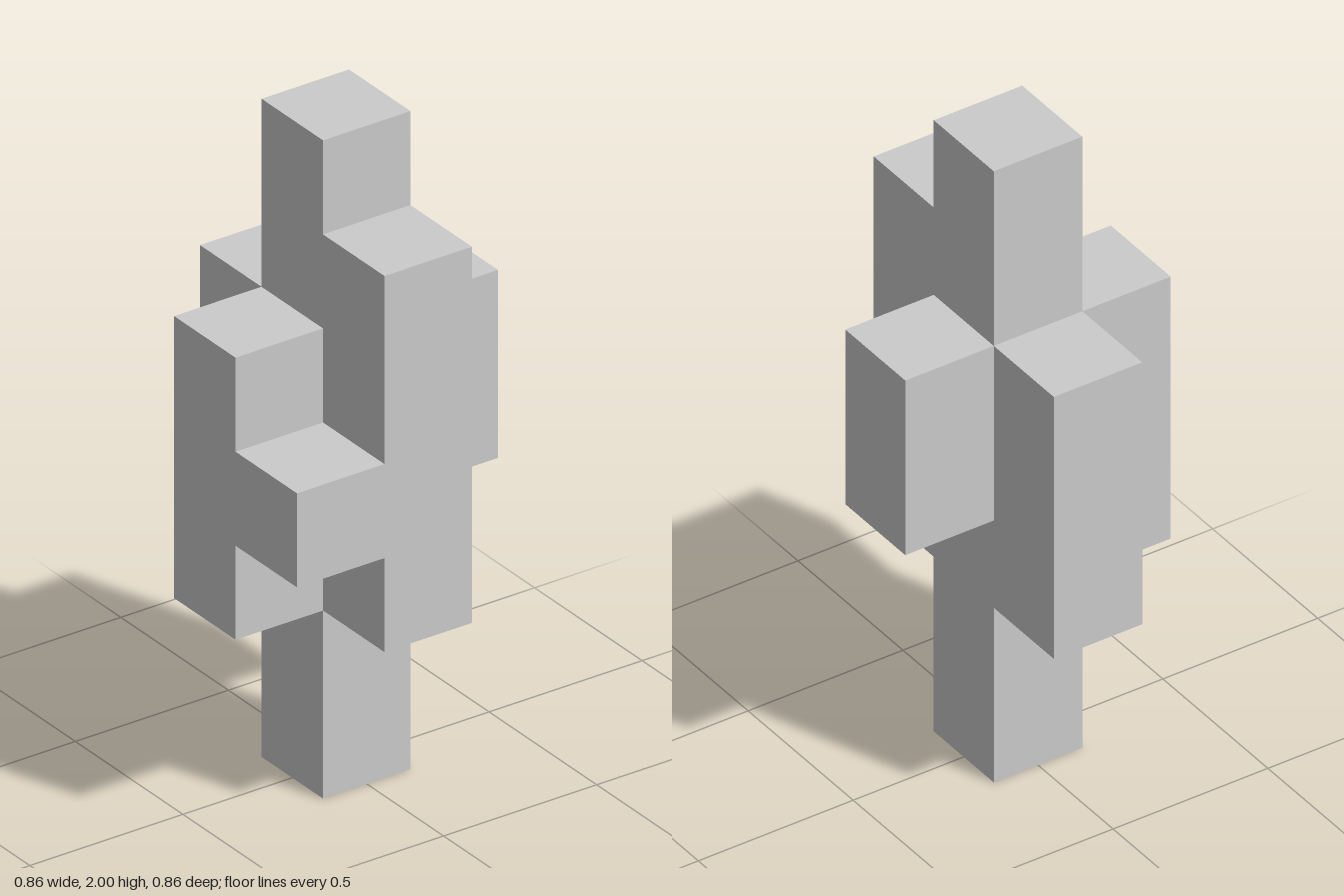
import * as THREE from 'three';
import { mergeGeometries } from 'three/addons/utils/BufferGeometryUtils.js';

// Edge length of one grid cell: the model is seven cells tall
const U = 2 / 7;

// Upright bars on the grid: cell x, cell z, first and last-plus-one cell in y
const BARS = [
  { name: 'centralColumn', x: 0, z: 0, from: 0, to: 7 },
  { name: 'frontBar', x: 0, z: 1, from: 2, to: 6 },
  { name: 'backBar', x: 0, z: -1, from: 2, to: 5 },
  { name: 'leftBar', x: 1, z: 0, from: 3, to: 5 },
  { name: 'rightBar', x: -1, z: 0, from: 2, to: 5 },
  { name: 'rightFrontBlock', x: -1, z: 1, from: 3, to: 4 },
];

const SIDES = [[1, 0, 0], [-1, 0, 0], [0, 1, 0], [0, -1, 0], [0, 0, 1], [0, 0, -1]];

const filled = (x, y, z) =>
  BARS.some((b) => b.x === x && b.z === z && y >= b.from && y < b.to);

// One square on the outside of a cell, facing along the given direction
function cellFace(x, y, z, dir) {
  const n = new THREE.Vector3(...dir);
  const face = new THREE.PlaneGeometry(U, U);
  face.applyQuaternion(new THREE.Quaternion().setFromUnitVectors(new THREE.Vector3(0, 0, 1), n));
  return face.translate((x + n.x / 2) * U, (y + 0.5 + n.y / 2) * U, (z + n.z / 2) * U);
}

// Skin of a bar, leaving out the faces where it joins its neighbours
function barGeometry({ x, z, from, to }) {
  const faces = [];
  for (let y = from; y < to; y++) {
    for (const d of SIDES) {
      if (!filled(x + d[0], y + d[1], z + d[2])) faces.push(cellFace(x, y, z, d));
    }
  }
  return mergeGeometries(faces);
}

export function createModel() {
  const group = new THREE.Group();
  group.name = 'blockSculpture';
  const material = new THREE.MeshStandardMaterial({ color: 0xcccccc, flatShading: true });
  for (const bar of BARS) {
    const mesh = new THREE.Mesh(barGeometry(bar), material);
    mesh.name = bar.name;
    group.add(mesh);
  }
  return group;
}
